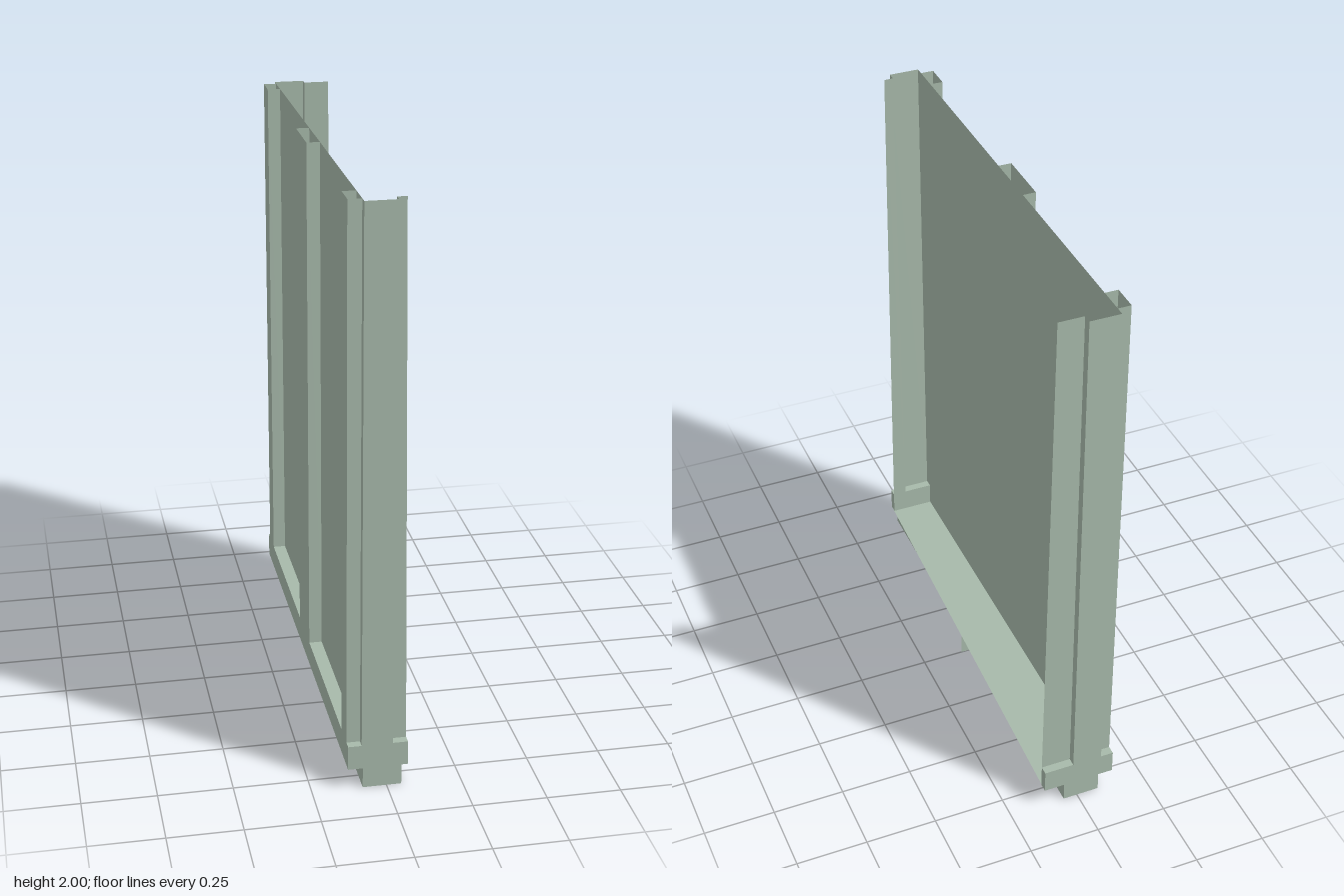
import * as THREE from 'three';

// Thin folded-sheet wall panel: flat back sheet, ribs, tapered end posts, sill tray and foot channel
const topY = z => 1.995 + 0.006 * z;

export function createModel() {
  const model = new THREE.Group();
  const sage = new THREE.MeshStandardMaterial({ color: 0xa7b9aa, side: THREE.DoubleSide });
  sage.name = 'sage';

  // One mesh from four-cornered flat faces
  function sheet(name, quads) {
    const pos = [];
    for (const [a, b, c, d] of quads) pos.push(...a, ...b, ...c, ...a, ...c, ...d);
    const geo = new THREE.BufferGeometry();
    geo.setAttribute('position', new THREE.Float32BufferAttribute(pos, 3));
    geo.computeVertexNormals();
    const mesh = new THREE.Mesh(geo, sage);
    mesh.name = name;
    model.add(mesh);
  }

  // Upright folds along a plan path of [x, z, x at the top]
  function folds(path, y0, top = topY) {
    const quads = [];
    for (let i = 0; i + 1 < path.length; i++) {
      const [ax, az, at = ax] = path[i], [bx, bz, bt = bx] = path[i + 1];
      quads.push([[ax, y0, az], [bx, y0, bz], [bt, top(bz), bz], [at, top(az), az]]);
    }
    return quads;
  }

  // Level face between four plan corners [x, z]
  const level = (y, ...corners) => corners.map(([x, z]) => [x, y, z]);

  const back = -0.13, face = -0.085, low = 0.075, sill = 0.16, end = 0.83, inner = 0.8;
  const sillTop = () => sill;

  sheet('backPanel', folds([[face, inner], [face, -inner]], low));
  sheet('centreRib', folds([[face, 0.1], [back, 0.1], [back, -0.1], [face, -0.1]], sill));

  // End posts: rib, raised channel and tapered flange
  for (const s of [1, -1]) {
    const side = s > 0 ? 'front' : 'back';
    const edge = s > 0 ? 0.07 : 0.125, edgeTop = s > 0 ? 0.052 : 0.108;
    sheet(side + 'Post', folds([
      [face, 0.71 * s], [back, 0.71 * s], [back, inner * s], [face, inner * s],
      [face, end * s], [0.02, end * s], [0.02, inner * s], [edge, inner * s, edgeTop],
    ], sill));

    // Block at the foot of each post
    sheet(side + 'EndBlock', [
      ...folds([[back, end * s], [edge, end * s], [edge, inner * s], [face, inner * s]], low, sillTop),
      level(sill, [back, inner * s], [edge, inner * s], [edge, end * s], [back, end * s]),
    ]);
  }

  // Sill behind the panel and tapered tray floor in front of it
  sheet('sill', [
    ...folds([[back, end], [back, -end]], low, sillTop),
    level(sill, [back, inner], [face, inner], [face, -inner], [back, -inner]),
  ]);
  sheet('trayFloor', [level(low, [back, end], [0.07, end], [0.125, -end], [back, -end])]);

  // Foot channel, open underneath, with a small stiffening tab
  const e = 0.825;
  sheet('footChannel', folds([[-0.08, e], [0.05, e], [0.05, -e], [-0.08, -e], [-0.08, e]], 0, () => low));
  sheet('footTab', folds([[0.05, 0], [0.1, 0]], 0, () => low));

  return model;
}
